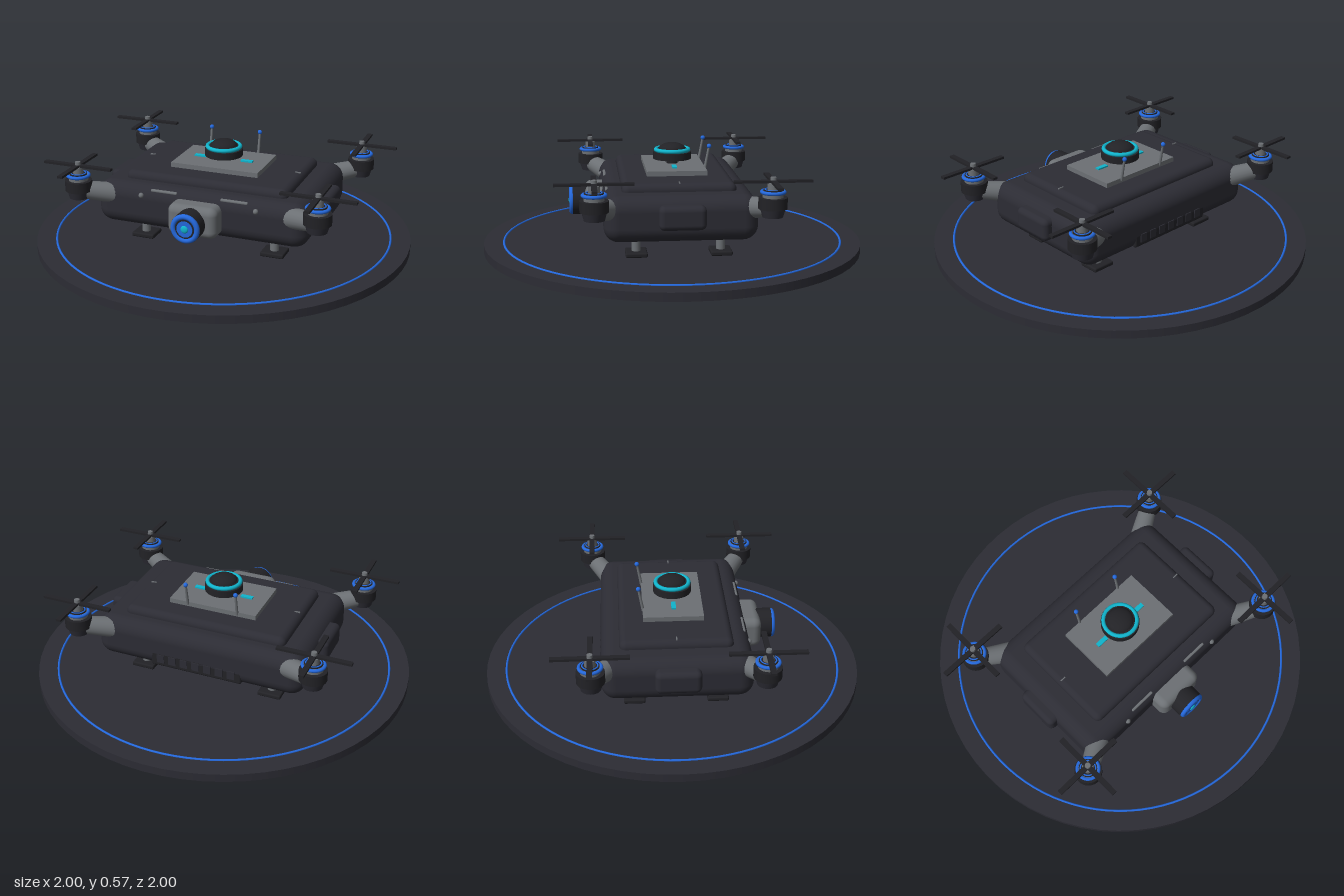
import * as THREE from 'three';
import { RoundedBoxGeometry } from 'three/addons/geometries/RoundedBoxGeometry.js';

const paint = (name, hex) => {
  const m = new THREE.MeshStandardMaterial({ color: hex });
  m.name = name;
  return m;
};

export function createModel() {
  const dark = paint('charcoal', 0x2c2c34);
  const black = paint('nearBlack', 0x222226);
  const grey = paint('midGrey', 0x6c7074);
  const blue = paint('blue', 0x2468dc);
  const cyan = paint('cyan', 0x10b4cc);

  const root = new THREE.Group();
  root.name = 'droneOnPad';

  const add = (parent, name, geo, mat, x = 0, y = 0, z = 0) => {
    const mesh = new THREE.Mesh(geo, mat);
    mesh.name = name;
    mesh.position.set(x, y, z);
    parent.add(mesh);
    return mesh;
  };
  const box = (w, h, d) => new THREE.BoxGeometry(w, h, d);
  const soft = (w, h, d, r) => new RoundedBoxGeometry(w, h, d, 4, r);
  const cyl = (rt, rb, h, n = 32) => new THREE.CylinderGeometry(rt, rb, h, n);
  const ring = (r, t, n = 48) => new THREE.TorusGeometry(r, t, 10, n).rotateX(Math.PI / 2);
  // Tapered rod between two points
  const rod = (parent, name, a, b, ra, rb, mat) => {
    const dir = b.clone().sub(a);
    const mesh = add(parent, name, cyl(rb, ra, dir.length(), 20), mat);
    mesh.position.copy(a).add(b).multiplyScalar(0.5);
    mesh.quaternion.setFromUnitVectors(new THREE.Vector3(0, 1, 0), dir.normalize());
    return mesh;
  };

  // Landing pad
  add(root, 'landingPad', cyl(1, 1, 0.043, 64), dark, 0, 0.0215, 0);
  add(root, 'padRing', ring(0.895, 0.006, 96), blue, 0, 0.044, 0);

  // Hull, deck and equipment plate
  add(root, 'hull', soft(1.14, 0.23, 0.76, 0.075), dark, 0, 0.265, 0);
  add(root, 'upperDeck', soft(0.88, 0.1, 0.57, 0.035), dark, 0, 0.37, 0);
  add(root, 'equipmentPlate', box(0.48, 0.03, 0.31), grey, 0, 0.43, -0.005);
  add(root, 'rearPanel', soft(0.5, 0.08, 0.03, 0.01), black, 0, 0.205, -0.365);
  for (let i = 0; i < 7; i++) {
    add(root, 'rearVentSlat', box(0.04, 0.045, 0.008), dark, -0.195 + i * 0.065, 0.21, -0.381);
  }

  // Sensor dome
  const dome = new THREE.Group();
  dome.name = 'sensorDome';
  root.add(dome);
  add(dome, 'domeStem', cyl(0.03, 0.03, 0.04), black, 0, 0.455, 0);
  add(dome, 'domeBase', cyl(0.1, 0.1, 0.037, 40), black, 0, 0.488, 0);
  add(dome, 'domeCollar', cyl(0.075, 0.085, 0.02, 40), black, 0, 0.515, 0);
  add(dome, 'domeRing', ring(0.086, 0.011), cyan, 0, 0.517, 0);
  const cap = new THREE.SphereGeometry(0.07, 32, 12, 0, Math.PI * 2, 0, Math.PI / 2);
  add(dome, 'domeCap', cap.scale(1, 0.5, 1), black, 0, 0.52, 0);

  // Belly sensor
  add(root, 'bellySensor', cyl(0.065, 0.065, 0.035), dark, 0, 0.137, 0);
  add(root, 'bellyLensRing', cyl(0.052, 0.052, 0.015), blue, 0, 0.113, 0);
  add(root, 'bellyLens', cyl(0.04, 0.04, 0.008), black, 0, 0.106, 0);

  for (const s of [-1, 1]) {
    // Side pods, deck markers and plate light bars
    add(root, 'sidePod', soft(0.09, 0.12, 0.23, 0.028), dark, s * 0.57, 0.283, 0);
    add(root, 'deckMarker', box(0.03, 0.006, 0.006), grey, s * 0.41, 0.421, 0);
    add(root, 'lightBar', box(0.065, 0.012, 0.024), cyan, s * 0.13, 0.447, 0);
    // Front trim bars and small lamps
    add(root, 'frontTrim', soft(0.145, 0.014, 0.02, 0.006), grey, s * 0.19, 0.358, 0.353);
    add(root, 'frontLamp', new THREE.SphereGeometry(0.014, 16, 10), grey, s * 0.31, 0.33, 0.374);
    // Aerials
    const foot = new THREE.Vector3(s * 0.138, 0.43, -0.157);
    const tip = new THREE.Vector3(s * 0.138, 0.555, -0.18);
    rod(root, 'aerial', foot, tip, 0.008, 0.006, grey);
    add(root, 'aerialTip', new THREE.SphereGeometry(0.012, 16, 10), blue, tip.x, tip.y, tip.z);

    for (const t of [-1, 1]) {
      // Legs
      const leg = new THREE.Group();
      leg.name = 'leg';
      leg.position.set(s * 0.36, 0, t * 0.214);
      root.add(leg);
      add(leg, 'strut', cyl(0.023, 0.023, 0.11, 20), grey, 0, 0.11, 0);
      add(leg, 'foot', soft(0.125, 0.024, 0.11, 0.008), black, 0, 0.055, 0);

      // Arms
      rod(root, 'arm', new THREE.Vector3(s * 0.47, 0.305, t * 0.325),
        new THREE.Vector3(s * 0.625, 0.335, t * 0.415), 0.056, 0.046, grey);

      // Motor and crossed rotor
      const motor = new THREE.Group();
      motor.name = 'rotorUnit';
      motor.position.set(s * 0.64, 0, t * 0.425);
      root.add(motor);
      add(motor, 'motorBase', cyl(0.062, 0.05, 0.045), dark, 0, 0.317, 0);
      add(motor, 'motorHousing', cyl(0.07, 0.07, 0.055), black, 0, 0.363, 0);
      add(motor, 'motorCollar', cyl(0.05, 0.05, 0.04), grey, 0, 0.402, 0);
      add(motor, 'motorRing', ring(0.054, 0.009, 36), blue, 0, 0.416, 0);
      add(motor, 'motorTop', cyl(0.046, 0.046, 0.008), black, 0, 0.424, 0);
      add(motor, 'motorTopRing', ring(0.038, 0.004, 32), blue, 0, 0.427, 0);
      add(motor, 'rotorShaft', cyl(0.028, 0.028, 0.04, 20), grey, 0, 0.442, 0);
      add(motor, 'rotorBladeAcross', box(0.38, 0.012, 0.027), black, 0, 0.467, 0);
      add(motor, 'rotorBladeAlong', box(0.027, 0.012, 0.38), black, 0, 0.467, 0);
      add(motor, 'rotorCap', cyl(0.014, 0.016, 0.024, 16), grey, 0, 0.476, 0);
    }
  }

  // Nose camera, facing forward
  add(root, 'cameraMount', soft(0.265, 0.165, 0.13, 0.04), grey, 0, 0.258, 0.4);
  const camera = new THREE.Group();
  camera.name = 'noseCamera';
  camera.position.set(0, 0.255, 0);
  root.add(camera);
  const disc = (r, h) => cyl(r, r, h, 36).rotateX(Math.PI / 2);
  add(camera, 'cameraBody', disc(0.078, 0.09), black, 0, 0, 0.483);
  add(camera, 'cameraRing', new THREE.TorusGeometry(0.063, 0.014, 12, 40), blue, 0, 0, 0.533);
  add(camera, 'cameraGlass', disc(0.055, 0.02), black, 0, 0, 0.53);
  add(camera, 'irisRing', disc(0.042, 0.005), blue, 0, 0, 0.541);
  add(camera, 'lens', new THREE.SphereGeometry(0.02, 20, 12).scale(1, 1, 0.4), cyan, 0, 0, 0.543);

  return root;
}
